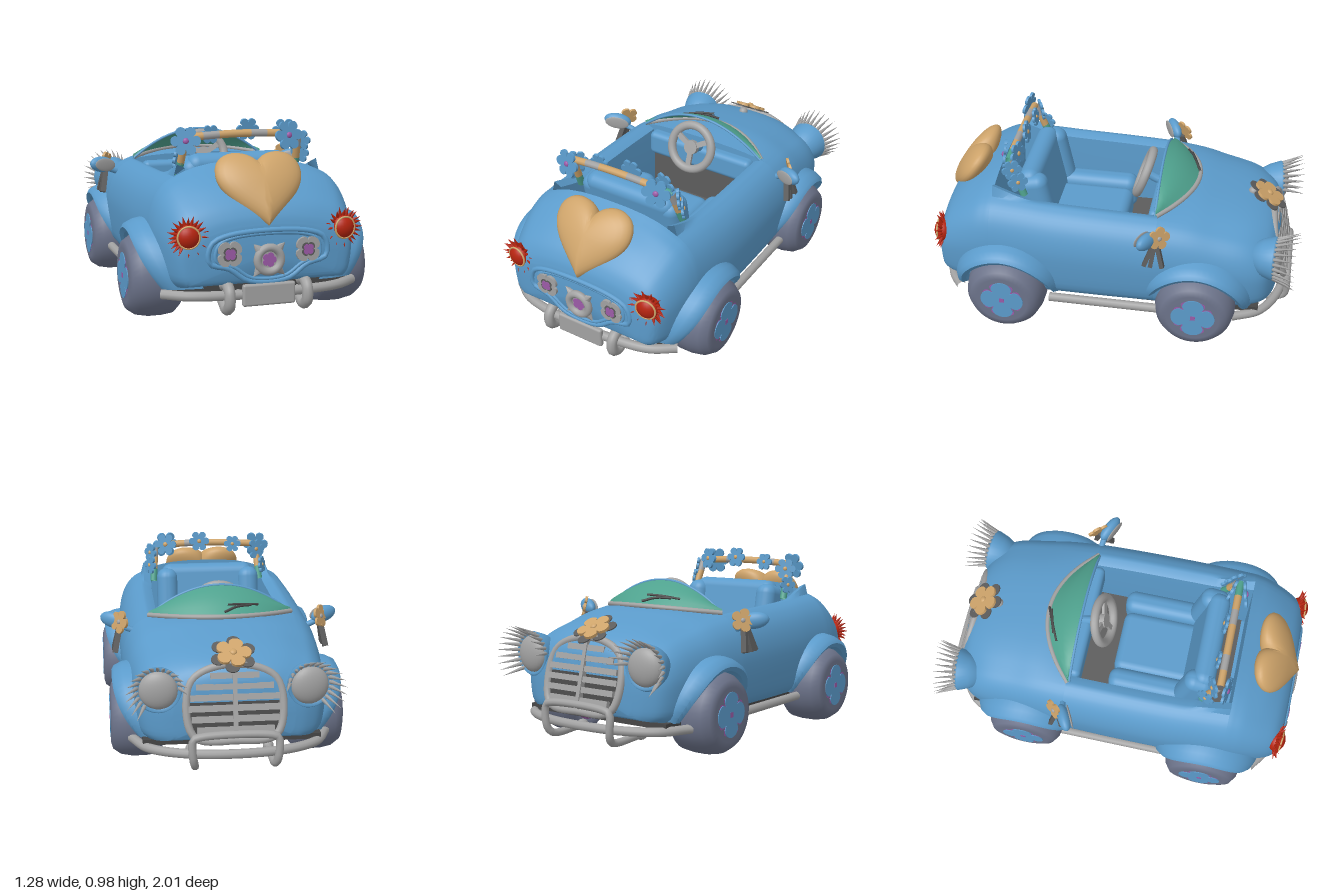
import * as THREE from 'three';
import { toCreasedNormals } from 'three/addons/utils/BufferGeometryUtils.js';
import { RoundedBoxGeometry } from 'three/addons/geometries/RoundedBoxGeometry.js';

const V = (x, y, z) => new THREE.Vector3(x, y, z), V2 = p => new THREE.Vector2(...p);
const mat = (name, color, side = THREE.FrontSide) => Object.assign(new THREE.MeshStandardMaterial({ color, side }), { name });

// Grid surface from point rows
const grid = (f, nu, nv, crease = 0.7) => {
  const p = [], idx = [];
  for (let i = 0; i <= nu; i++) for (let j = 0; j <= nv; j++) p.push(...f(i, j));
  for (let i = 0; i < nu; i++) for (let j = 0; j < nv; j++) {
    const a = i * (nv + 1) + j, b = a + nv + 1;
    idx.push(a, a + 1, b, a + 1, b + 1, b);
  }
  const g = new THREE.BufferGeometry().setIndex(idx);
  return toCreasedNormals(g.setAttribute('position', new THREE.Float32BufferAttribute(p, 3)), crease);
};
// Flower outline with n round petals, facing +z
const petals = (n, r, depth, notch = 0.55) => {
  const pts = Array.from({ length: n * 14 }, (_, i) => {
    const a = i / (n * 7) * Math.PI, q = r * (notch + (1 - notch) * Math.abs(Math.cos(a * n / 2)) ** 0.45);
    return V2([q * Math.cos(a), q * Math.sin(a)]);
  });
  return new THREE.ExtrudeGeometry(new THREE.Shape(pts), { depth, bevelEnabled: false });
};

export function createModel() {
  const car = new THREE.Group();
  car.name = 'car';
  const blue = mat('blue paint', 0x5b9bcb, THREE.DoubleSide), tan = mat('tan', 0xcda36a), grey = mat('grey metal', 0xa2a2a2);
  const tyreGrey = mat('tyre slate', 0x6c738a), purple = mat('purple', 0x9c5ba7), red = mat('red', 0xb5240f);
  const green = mat('green glass', 0x4fa28e, THREE.DoubleSide), dark = mat('dark', 0x464646), shadowGrey = mat('ribbon grey', 0x5c5c5c);

  const place = (o, name, pos, parent) => {
    o.name = name;
    o.position.set(...pos);
    parent.add(o);
    return o;
  };
  const add = (name, geo, m, pos = [0, 0, 0], parent = car) => place(new THREE.Mesh(geo, m), name, pos, parent);
  const group = (name, pos, dir, parent = car) => {
    const g = place(new THREE.Group(), name, pos, parent);
    if (dir) g.quaternion.setFromRotationMatrix(new THREE.Matrix4().lookAt(V(...dir), V(0, 0, 0), V(0, 1, 0)));
    return g;
  };
  const box = (name, size, m, pos, parent) => add(name, new THREE.BoxGeometry(...size), m, pos, parent);
  const pad = (name, size, r, pos, parent, m = blue) => add(name, new RoundedBoxGeometry(...size, 4, r), m, pos, parent);
  const ball = (name, r, scale, m, pos, parent) => add(name, new THREE.SphereGeometry(r, 24, 16).scale(...scale), m, pos, parent);
  const disc = (name, r, h, m, pos, parent) => add(name, new THREE.CylinderGeometry(r, r, h, 24).rotateX(Math.PI / 2), m, pos, parent);
  const torus = (name, r, t, m, pos, parent) => add(name, new THREE.TorusGeometry(r, t, 12, 36), m, pos, parent);
  const tube = (name, pts, r, m, parent, closed = false) =>
    add(name, new THREE.TubeGeometry(new THREE.CatmullRomCurve3(pts.map(p => V(...p)), closed), 48, r, 10, closed), m, [0, 0, 0], parent);
  const spike = (name, base, dir, len, r, m, parent) =>
    add(name, new THREE.ConeGeometry(r, len, 6).translate(0, len / 2, 0), m, base, parent)
      .quaternion.setFromUnitVectors(V(0, 1, 0), V(...dir).normalize());
  const flower = (name, n, r, m, centre, pos, dir) => {
    const g = group(name, pos, dir);
    add('petals', petals(n, r, 0.014), m, [0, 0, 0], g);
    ball('flowerCentre', r * 0.2, [1, 1, 0.6], centre, [0, 0, 0.014], g);
    return g;
  };

  // Body shell: sections of [z, halfWidth, bottom, shoulder, crown or coaming rise]
  const side = new THREE.SplineCurve([[0.9, 0], [0.97, 0.12], [1, 0.45], [0.985, 0.65], [0.93, 0.82], [0.84, 0.94], [0.74, 1]].map(V2)).getPoints(20);
  const ring = ([z, w, y0, ys, yc], open) => {
    const h = [[0, y0], ...side.map(p => [p.x * w, y0 + p.y * (ys - y0)])];
    if (open) h.push([0.71 * w, ys + yc], [0.63 * w, ys + yc - 0.02], [0.61 * w, 0.5], [0.61 * w, 0.3], [0, 0.3]);
    else for (const k of [0.85, 0.7, 0.5, 0.25, 0]) h.push([0.74 * k * w, ys + (yc - ys) * (1 - k ** 3)]);
    return [...h, ...h.slice(0, -1).reverse().map(([x, y]) => [-x, y])].map(([x, y]) => [x, y, z]);
  };
  const loft = (name, st, open) => {
    const rows = [], n = st.length - 1, cap = s => [s[0], 0, ...Array(3).fill((s[2] + s[3]) / 2)];
    for (let i = 0; i < n; i++) for (let t = 0; t < 0.9; t += 0.2) rows.push(st[i].map((b, c) => {
      const a = st[Math.max(i - 1, 0)][c], d = st[i + 1][c], e = st[Math.min(i + 2, n)][c];
      return b + 0.5 * t * (d - a + t * (2 * a - 5 * b + 4 * d - e + t * (3 * (b - d) + e - a)));
    }));
    rows.push(st[n]);
    const rings = (open ? rows : [cap(st[0]), ...rows, cap(st[n])]).map(r => ring(r, open));
    add(name, grid((i, j) => rings[i][j], rings.length - 1, rings[0].length - 1), blue);
  };
  loft('hoodBody', [[-0.89, 0.3, 0.24, 0.46, 0.52], [-0.87, 0.37, 0.22, 0.5, 0.565], [-0.82, 0.445, 0.21, 0.54, 0.61],
    [-0.72, 0.485, 0.2, 0.59, 0.65], [-0.55, 0.505, 0.2, 0.63, 0.69], [-0.42, 0.518, 0.2, 0.66, 0.71], [-0.25, 0.53, 0.2, 0.68, 0.705]]);
  loft('cockpitBody', [[-0.25, 0.53, 0.2, 0.68, 0], [0, 0.535, 0.2, 0.69, 0], [0.3, 0.535, 0.2, 0.7, 0], [0.46, 0.53, 0.2, 0.71, 0.005], [0.64, 0.522, 0.2, 0.718, 0.06]], true);
  loft('tailBody', [[0.64, 0.522, 0.2, 0.718, 0.785], [0.67, 0.52, 0.2, 0.712, 0.77], [0.73, 0.512, 0.2, 0.692, 0.74], [0.82, 0.49, 0.21, 0.64, 0.69],
    [0.9, 0.46, 0.22, 0.58, 0.62], [0.94, 0.425, 0.235, 0.52, 0.56], [0.955, 0.36, 0.26, 0.48, 0.51]]);
  box('underside', [0.9, 0.03, 1.66], dark, [0, 0.19, 0.02]);
  box('cockpitFloor', [0.64, 0.01, 0.86], shadowGrey, [0, 0.308, 0.19]);
  box('firewall', [0.64, 0.24, 0.01], shadowGrey, [0, 0.42, -0.24]);

  // Wheels, fenders and sills
  const tyre = new THREE.LatheGeometry([[0, 0.42], [0.125, 0.4], [0.14, 0.36], [0.18, 0.365], [0.208, 0.395], [0.215, 0.45], [0.215, 0.52], [0.203, 0.58],
    [0.175, 0.62], [0.14, 0.63], [0, 0.625]].map(V2), 40).rotateZ(-Math.PI / 2);
  const lip = [[0.222, 0.54], [0.232, 0.6], [0.255, 0.618], [0.278, 0.605], [0.297, 0.565], [0.31, 0.5], [0.315, 0.42]];
  for (const s of [1, -1]) {
    for (const [end, z, inset] of [['rear', 0.555, 0], ['front', -0.475, 0.025]]) {
      const wheel = group(end + 'Wheel', [-s * inset, 0.215, z]);
      if (s < 0) wheel.rotation.y = Math.PI;
      add('tyre', tyre, tyreGrey, [0, 0, 0], wheel);
      const hub = group('hubFlower', [0.62, 0, 0], [1, 0, 0], wheel);
      torus('innerRim', 0.128, 0.014, purple, [0, 0, -0.255], hub);
      disc('brakeDrum', 0.09, 0.14, dark, [0, 0, -0.28], hub);
      add('hubRim', petals(4, 0.128, 0.009, 0.62), purple, [0, 0, 0], hub);
      add('hubPetals', petals(4, 0.117, 0.009, 0.57), blue, [0, 0, 0.004], hub);
      box('hubCap', [0.026, 0.026, 0.009], purple, [0, 0, 0.01], hub);
      add(end + 'Fender', grid((i, j) => {
        const a = i / 28 * Math.PI, [r, x] = lip[j];
        return [s * (x - inset - 0.12 * (1 - Math.sin(a)) ** 1.7), 0.2 + r * Math.sin(a), z + r * Math.cos(a)];
      }, 28, 6), blue);
    }
    tube('sill', [[s * 0.51, 0.175, 0.32], [s * 0.51, 0.175, 0], [s * 0.51, 0.175, -0.28]], 0.024, grey);

    // Headlight with lashes
    const lamp = group('headlight', [s * 0.37, 0.485, -0.84], [s * 0.1, 0.02, -1]);
    add('lampPod', new THREE.LatheGeometry([[0, -0.12], [0.07, -0.09], [0.1, -0.03], [0.118, 0.03], [0.108, 0.045], [0.09, 0.03]].map(V2), 32).rotateX(Math.PI / 2),
      blue, [0, 0, 0], lamp);
    ball('lampLens', 0.097, [1, 1, 0.45], grey, [0, 0, 0.03], lamp);
    for (let i = 0; i < 17; i++) {
      const a = (-50 + i * 14) * Math.PI / 180, c = -s * Math.cos(a), d = Math.sin(a);
      spike('lash', [c * 0.105, d * 0.105, 0.035], [c * 0.4, d * 0.4, 1], 0.13, 0.011, grey, lamp);
    }

    // Spiked tail light
    const tail = group('tailLight', [s * 0.395, 0.475, 0.91], [s * 0.12, 0, 1]);
    ball('tailLens', 0.062, [1, 1, 0.8], red, [0, 0, 0.015], tail);
    torus('tailRing', 0.053, 0.005, tan, [0, 0, 0.042], tail);
    for (let i = 0; i < 24; i++) {
      const a = i / 12 * Math.PI, c = Math.cos(a), d = Math.sin(a);
      spike('tailSpike', [c * 0.054, d * 0.054, 0.018], [c, d, i % 2 ? 0.2 : 0.6], 0.052, 0.012, red, tail);
    }

    // Door mirror with flower and ribbons
    const mirror = group('mirror', [s * 0.565, 0.662, -0.21], [-s * 0.5, 0, 1]);
    mirror.rotateZ(s * 0.15);
    ball('mirrorShell', 0.08, [1, 0.55, 0.42], blue, [0, 0, -0.01], mirror);
    ball('mirrorGlass', 0.07, [1, 0.52, 0.1], grey, [0, 0, 0.022], mirror);
    tube('mirrorStem', [[s * 0.47, 0.61, -0.25], [s * 0.52, 0.63, -0.24], [s * 0.57, 0.65, -0.21]], 0.016, blue);
    flower('mirrorFlower', 5, 0.062, tan, grey, [s * 0.535, 0.665, -0.275], [s, 0.3, -0.8]);
    for (const [dz, tilt] of [[-0.02, -0.25], [0.015, 0.15], [0.035, 0.35]])
      box('ribbon', [0.03, 0.14, 0.022], shadowGrey, [s * 0.555, 0.57, -0.265 + dz]).rotation.set(-tilt, 0, s * 0.2);

    // Rear lamps, overriders and hoop ends
    const rl = group('rearFlowerLamp', [s * 0.2, 0.385, 0.95]);
    rl.rotation.z = Math.PI / 4;
    add('lampPetals', petals(4, 0.068, 0.02, 0.65), grey, [0, 0, 0], rl);
    add('lampTrim', petals(4, 0.038, 0.006, 0.65), shadowGrey, [0, 0, 0.017], rl);
    add('lampInner', petals(4, 0.029, 0.008, 0.65), purple, [0, 0, 0.018], rl);
    tube('rearOverrider', [[0.13, 0.85], [0.1, 0.92], [0.13, 0.965], [0.19, 0.965], [0.22, 0.93], [0.21, 0.88]].map(p => [s * 0.2, ...p]), 0.028, grey);
    ball('hoopKnob', 0.028, [1, 1, 1.3], grey, [s * 0.2, 0.1, -0.69]);
  }

  // Rear panel, central lamp, plate and bumpers
  const panel = [[-0.2, 0.11], [0.2, 0.11], [0.29, 0.07], [0.3, -0.02], [0.2, -0.055], [0.1, -0.12], [-0.1, -0.12], [-0.2, -0.055], [-0.3, -0.02], [-0.29, 0.07]];
  for (const [k, r] of [[1, 0.014], [0.88, 0.01]]) tube('rearPanelRim', panel.map(([x, y]) => [x * k, 0.365 + y * k, 0.953]), r, blue, car, true);
  const lamp = group('rearCentreLamp', [0, 0.345, 0.955]);
  torus('lampRing', 0.06, 0.02, grey, [0, 0, 0.01], lamp);
  disc('lampDisc', 0.05, 0.02, grey, [0, 0, 0], lamp);
  add('lampFlower', petals(5, 0.036, 0.009, 0.7), purple, [0, 0, 0.006], lamp);
  for (const c of [1, -1]) for (const d of [1, -1]) spike('lampStud', [c * 0.046, d * 0.046, 0], [c, d, 0.25], 0.05, 0.028, grey, lamp);
  pad('numberPlate', [0.27, 0.11, 0.03], 0.012, [0, 0.175, 0.962], car, grey);
  const wrap = pts => [...pts, ...pts.slice().reverse().map(([x, y, z]) => [-x, y, z])];
  tube('rearBumper', wrap([[-0.5, 0.175, 0.82], [-0.38, 0.175, 0.9], [-0.15, 0.175, 0.94]]), 0.025, grey);
  tube('frontBumper', wrap([[-0.5, 0.165, -0.67], [-0.42, 0.165, -0.82], [-0.2, 0.165, -0.92]]), 0.024, grey);
  tube('bumperHoop', wrap([[-0.2, 0.1, -0.69], [-0.2, 0.1, -0.92], [-0.21, 0.14, -0.95], [-0.21, 0.25, -0.95], [-0.17, 0.265, -0.95]]), 0.02, grey);

  // Domed heart on the boot lid
  const half = new THREE.Path().moveTo(0, 0.14).bezierCurveTo(0.05, 0.22, 0.222, 0.22, 0.222, 0.08).bezierCurveTo(0.222, -0.03, 0.09, -0.11, 0, -0.2).getPoints(16);
  const rim = [...half, ...half.slice(0, -1).reverse().map(p => V2([-p.x, p.y]))];
  add('heart', grid((i, j) => {
    const f = i / 16 * Math.PI, k = Math.sin(f);
    return [rim[j].x * k, 0.02 + (rim[j].y - 0.02) * k, 0.072 * Math.cos(f)];
  }, 16, rim.length - 1, 1), tan, [0, 0.675, 0.845]).rotation.x = -0.62;

  // Grille and hood flower
  const grille = group('grille', [0, 0.42, -0.89]);
  grille.rotation.x = 0.25;
  const outline = [[-0.2, -0.17], [-0.24, -0.02], [-0.2, 0.12], [0, 0.185], [0.2, 0.12], [0.24, -0.02], [0.2, -0.17], [0, -0.19]];
  tube('grilleFrame', outline.map(p => [...p, 0]), 0.02, grey, grille, true);
  add('grilleBack', new THREE.ExtrudeGeometry(new THREE.Shape(outline.map(V2)), { depth: 0.04, bevelEnabled: false }), dark, [0, 0, 0], grille);
  [0.38, 0.43, 0.46, 0.44, 0.38, 0.24].forEach((w, i) => box('grilleSlat', [w, 0.03, 0.03], grey, [0, -0.135 + i * 0.053, -0.008], grille));
  box('grilleBar', [0.022, 0.36, 0.035], grey, [0, 0, -0.012], grille);
  const badge = flower('hoodFlower', 5, 0.09, tan, tan, [0, 0.64, -0.81], [0, 1, -0.6]);
  add('leaves', petals(6, 0.118, 0.006, 0.4), shadowGrey, [0, 0, -0.008], badge).rotation.z = 0.4;
  ball('hoodKnob', 0.025, [1, 1, 1], grey, [0, 0.65, -0.725]);

  // Windscreen with trim and wipers
  const base = u => [0.385 * u, 0.69 + 0.03 * (1 - u * u), -0.43 + 0.19 * u * u], top = u => [0.38 * u, 0.69 + 0.155 * (1 - u * u), -0.235];
  add('windscreen', grid((i, j) => base(i / 10 - 1).map((b, c) => b + (top(i / 10 - 1)[c] - b) * j / 4 + (c === 1 ? 0.02 * Math.sin(j / 4 * Math.PI) : 0)), 20, 4, 1.2), green);
  const us = [-1, -0.75, -0.5, -0.25, 0, 0.25, 0.5, 0.75, 1];
  tube('screenTrim', us.map(base), 0.013, grey);
  tube('screenEdge', us.map(top), 0.007, blue);
  tube('wiperArm', [[0, 0.745, -0.43], [-0.07, 0.765, -0.4], [-0.15, 0.765, -0.37]], 0.007, dark);
  tube('wiperBlade', [[-0.19, 0.76, -0.345], [-0.1, 0.775, -0.385], [-0.02, 0.78, -0.41]], 0.006, dark);

  // Dashboard, steering wheel and seat
  pad('dashboard', [0.66, 0.14, 0.08], 0.03, [0, 0.6, -0.23]);
  const steer = group('steeringWheel', [0, 0.71, -0.125], [0, 0.36, 1]);
  torus('wheelRim', 0.125, 0.024, grey, [0, 0, 0], steer);
  disc('wheelHub', 0.04, 0.03, grey, [0, 0, 0], steer);
  for (const a of [0, 2.1, 4.2]) box('spoke', [0.03, 0.11, 0.016], grey, [Math.sin(a) * 0.07, -Math.cos(a) * 0.07, 0], steer).rotation.z = a;
  tube('steeringColumn', [[0, 0.71, -0.13], [0, 0.68, -0.18], [0, 0.65, -0.25]], 0.025, blue);
  pad('seatCushion', [0.36, 0.17, 0.46], 0.05, [0, 0.4, 0.19]);
  const back = group('seatBack', [0, 0.595, 0.44]);
  back.rotation.x = 0.2;
  pad('backPad', [0.54, 0.42, 0.12], 0.055, [0, 0, 0], back);
  for (const s of [1, -1]) {
    pad('backBolster', [0.12, 0.39, 0.16], 0.055, [s * 0.24, -0.01, -0.02], back);
    pad('seatBolster', [0.13, 0.2, 0.5], 0.055, [s * 0.235, 0.42, 0.2]);
  }

  // Striped roll bar with flowers
  [tan, grey, tan, tan, grey, tan, green].forEach((m, i) =>
    tube('rollBarStripe', [-0.043, 0, 0.043].map(d => -0.255 + i * 0.085 + d).map(x => [x, 0.91 - 0.15 * x * x, 0.56]), 0.02, m));
  for (const s of [1, -1]) [green, tan, grey].forEach((m, i) =>
    tube('rollBarPost', [0, 0.033, 0.07].map(d => [s * (0.318 - 0.08 * (i * 0.065 + d)), 0.7 + i * 0.065 + d, 0.48 + 0.4 * (i * 0.065 + d)]), 0.02, m));
  for (const [x, y, z, r, dx, dz] of [[-0.31, 0.885, 0.59, 0.076, -0.2, 1], [0.235, 0.895, 0.59, 0.078, 0.2, 1], [0.04, 0.925, 0.53, 0.06, 0, -1],
    [-0.16, 0.905, 0.53, 0.05, 0, -1], [0.24, 0.91, 0.53, 0.065, 0.3, -1], [0.325, 0.86, 0.54, 0.055, 1, -0.6], [0.33, 0.79, 0.51, 0.055, 1, -0.6],
    [-0.3, 0.87, 0.53, 0.06, -0.5, -1], [-0.33, 0.78, 0.5, 0.05, -1, -0.5]])
    flower('barFlower', 6, r, blue, dz > 0 ? purple : tan, [x, y, z], [dx, 0.15, dz]);
  return car;
}
